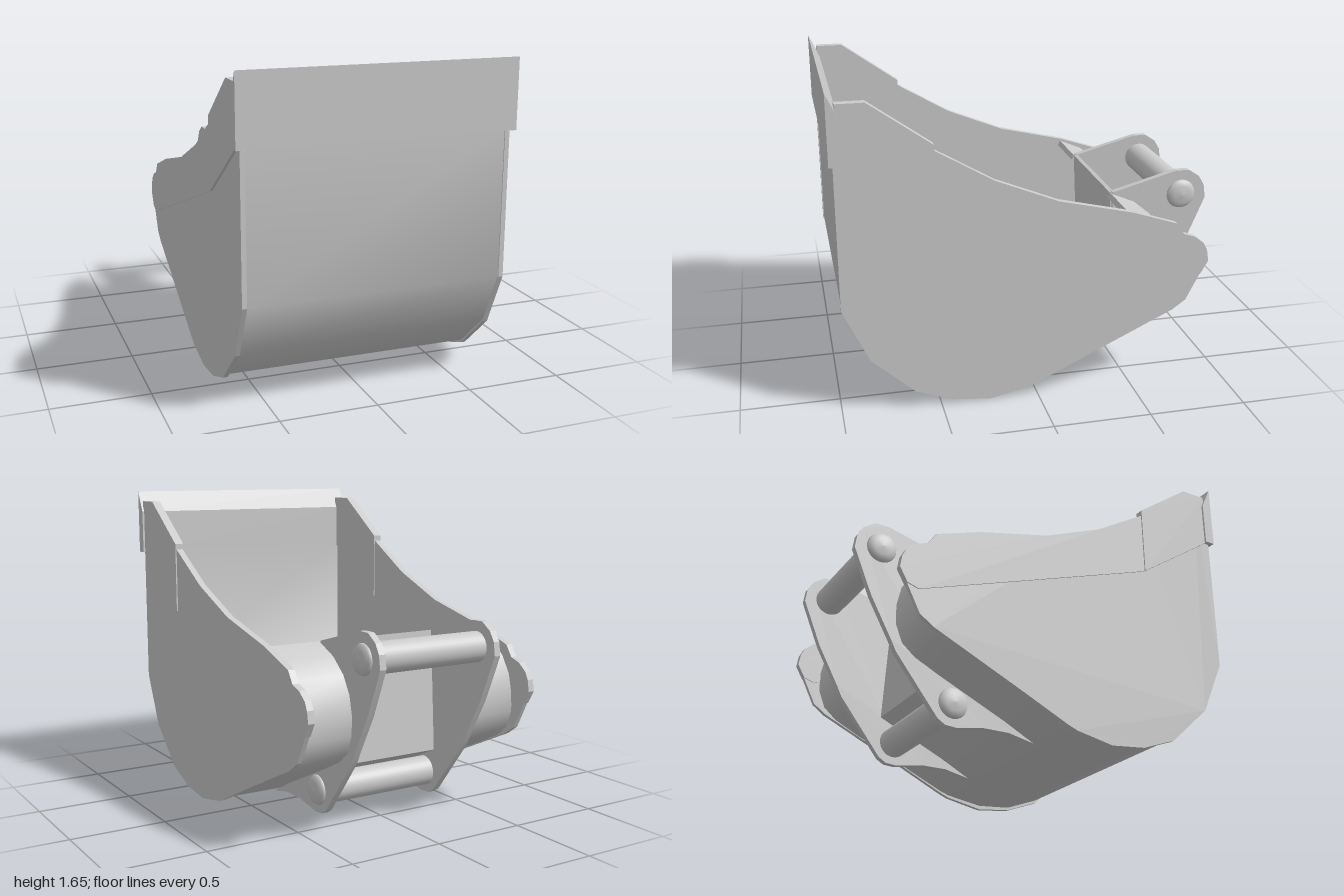
import * as THREE from 'three';
import { toCreasedNormals } from 'three/addons/utils/BufferGeometryUtils.js';

const material = new THREE.MeshStandardMaterial({ color: 0xcccccc });

// Plate with a (z, y) outline, filling x0..x1
function plate(name, outline, x0, x1, crease = 0.2) {
  const shape = new THREE.Shape(outline.map(([z, y]) => new THREE.Vector2(z, y)));
  const geo = new THREE.ExtrudeGeometry(shape, { depth: x1 - x0, bevelEnabled: false });
  geo.rotateY(-Math.PI / 2).translate(x1, 0, 0);
  const mesh = new THREE.Mesh(toCreasedNormals(geo, crease), material);
  mesh.name = name;
  return mesh;
}

// Closed outline of a sheet: the outer path plus the same path moved inwards
function sheet(path, t) {
  const inner = path.map((p, i) => {
    const dir = (a, b) => new THREE.Vector2(b[0] - a[0], b[1] - a[1]).normalize();
    const d0 = dir(path[Math.max(i - 1, 0)], path[Math.max(i, 1)]);
    const last = path.length - 1;
    const d1 = dir(path[Math.min(i, last - 1)], path[Math.min(i + 1, last)]);
    const m = d0.clone().add(d1).normalize();
    const k = t / m.dot(d0);
    return [p[0] + m.y * k, p[1] - m.x * k];
  });
  return [...path, ...inner.reverse()];
}

// Round pin across x with slightly domed ends
function pin(name, z, y) {
  const profile = [[0, -0.385], [0.045, -0.38], [0.072, -0.37], [0.078, -0.355],
    [0.078, 0.355], [0.072, 0.37], [0.045, 0.38], [0, 0.385]];
  const geo = new THREE.LatheGeometry(profile.map(([r, h]) => new THREE.Vector2(r, h)), 32);
  geo.rotateZ(Math.PI / 2).translate(0, y, z);
  const mesh = new THREE.Mesh(geo, material);
  mesh.name = name;
  return mesh;
}

export function createModel() {
  const model = new THREE.Group();
  model.name = 'diggerBucket';

  // Curved shell: full-width front and floor
  const floorPath = [[0.975, 1.32], [0.975, 0.57], [0.845, 0.3], [0.63, 0.105], [0.44, 0.035],
    [0.25, 0.02], [0.05, 0.053], [0, 0.07], [-0.25, 0.185], [-0.53, 0.315]];
  model.add(plate('shell', sheet(floorPath, 0.03), -0.65, 0.65, 0.6));

  // Rolled back of the shell, on both sides of the hitch recess
  const curlPath = [[-0.53, 0.315], [-0.66, 0.38], [-0.73, 0.44], [-0.765, 0.53], [-0.768, 0.63],
    [-0.745, 0.73], [-0.69, 0.82], [-0.6, 0.895], [-0.47, 0.95]];
  const curl = sheet(curlPath, 0.03);

  // Side plate parts
  const bottomEdge = [[0.98, 0.57], [0.85, 0.29], [0.63, 0.09], [0.44, 0.02], [0.25, 0],
    [0.05, 0.04], [0, 0.06], [-0.25, 0.18], [-0.72, 0.4], [-0.79, 0.45]];
  const topEdge = [[-0.72, 0.88], [-0.48, 0.96], [-0.1, 1.05], [0.22, 1.18], [0.51, 1.35]];
  const side = [[0.98, 1.3], ...bottomEdge, [-0.885, 0.64], [-0.84, 0.76], [-0.76, 0.82],
    ...topEdge, [0.9, 1.58]];
  const band = [[0.51, 1.01], [-0.8, 0.57], [-0.86, 0.59], [-0.9, 0.66], [-0.89, 0.72],
    [-0.87, 0.76], [-0.82, 0.8], [-0.76, 0.82], ...topEdge];
  const cheek = [[0.96, 1.31], [0.51, 1.01], [0.51, 1.38], [0.82, 1.6], [0.96, 1.6]];

  // Hitch bracket wrapping behind the shell
  const bracket = [[-0.48, 0.955], [-0.83, 1.05], [-0.9, 1.05], [-0.96, 1.01], [-0.99, 0.96],
    [-1, 0.89], [-0.9, 0.65], [-0.79, 0.45], [-0.76, 0.39], [-0.55, 0.12], [-0.53, 0.095],
    [-0.49, 0.07], [-0.43, 0.065], [-0.28, 0.09], [-0.14, 0.09], [0, 0.06],
    [-0.25, 0.19], [-0.5, 0.31]];

  // Mirrored parts
  for (const s of [1, -1]) {
    const add = (name, outline, a, b, crease) =>
      model.add(plate((s > 0 ? 'left' : 'right') + name, outline,
        Math.min(a * s, b * s), Math.max(a * s, b * s), crease));
    add('ShellCurl', curl, 0.335, 0.65, 0.6);
    add('SidePlate', side, 0.645, 0.669);
    add('SideBand', band, 0.64, 0.675);
    add('FrontCheek', cheek, 0.635, 0.682);
    add('HitchBracket', bracket, 0.32, 0.355);
  }

  // Recess wall between the brackets
  model.add(plate('recessWall',
    [[-0.47, 0.95], [-0.49, 0.955], [-0.53, 0.315], [-0.5, 0.31]], -0.335, 0.335));

  // Cutting lip
  model.add(plate('cuttingLip',
    [[1, 1.655], [1, 1.305], [0.945, 1.305], [0.945, 1.54]], -0.693, 0.693));

  // Hitch pins
  model.add(pin('upperPin', -0.86, 0.92), pin('lowerPin', -0.45, 0.185));
  return model;
}
